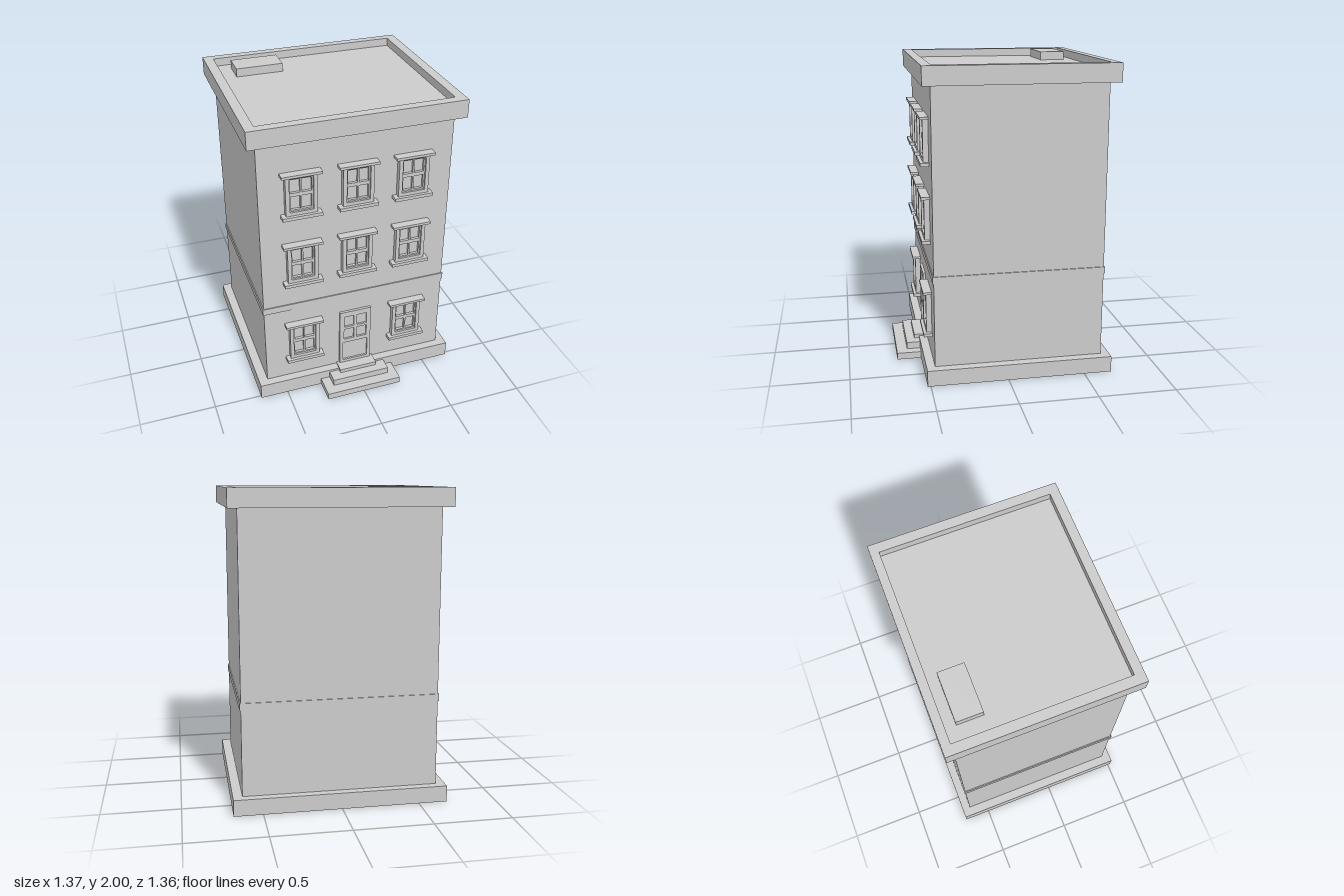
import * as THREE from 'three';

const MAT = new THREE.MeshStandardMaterial({ color: 0xcccccc, flatShading: true });
const WALL_Z = 0.465; // front wall plane

// box given by its min and max along each axis
function box(name, x0, x1, y0, y1, z0, z1) {
  const g = new THREE.BoxGeometry(x1 - x0, y1 - y0, z1 - z0);
  g.translate((x0 + x1) / 2, (y0 + y1) / 2, (z0 + z1) / 2);
  const m = new THREE.Mesh(g, MAT);
  m.name = name;
  return m;
}

function rect(Type, x0, x1, y0, y1) {
  const s = new Type();
  s.moveTo(x0, y0);
  s.lineTo(x1, y0);
  s.lineTo(x1, y1);
  s.lineTo(x0, y1);
  s.closePath();
  return s;
}

// flat plate with rectangular openings, extruded from z0 to z1
function plate(name, outer, holes, z0, z1) {
  const s = rect(THREE.Shape, ...outer);
  for (const h of holes) s.holes.push(rect(THREE.Path, ...h));
  const g = new THREE.ExtrudeGeometry(s, { depth: z1 - z0, bevelEnabled: false });
  g.translate(0, 0, z0);
  const m = new THREE.Mesh(g, MAT);
  m.name = name;
  return m;
}

// window with its origin at the bottom centre of the sill
function createWindow() {
  const w = new THREE.Group();
  w.name = 'window';
  const open = [-0.076, 0.076, 0.045, 0.272];
  const panes = [];
  for (const [y0, y1] of [[0.055, 0.146], [0.17, 0.261]])
    for (const [x0, x1] of [[-0.067, -0.005], [0.005, 0.067]]) panes.push([x0, x1, y0, y1]);
  w.add(
    box('windowSill', -0.127, 0.127, 0, 0.022, WALL_Z - 0.01, 0.52),
    box('windowLintel', -0.127, 0.127, 0.287, 0.304, WALL_Z - 0.01, 0.52),
    plate('windowFrame', [-0.1, 0.1, 0.022, 0.287], [open], WALL_Z - 0.005, 0.5),
    plate('windowSash', open, panes, WALL_Z - 0.005, 0.487),
    box('windowGlass', -0.075, 0.075, 0.046, 0.271, WALL_Z - 0.01, 0.469)
  );
  return w;
}

export function createModel() {
  const model = new THREE.Group();
  model.name = 'townBuilding';

  // walls, plinth and string course
  model.add(
    box('walls', -0.625, 0.625, 0.05, 1.94, -0.625, WALL_Z),
    box('plinth', -0.685, 0.685, 0, 0.105, -0.68, 0.52),
    box('stringCourse', -0.632, 0.632, 0.66, 0.705, -0.631, 0.472)
  );

  // cornice ring with parapet around the sunken roof
  const cornice = plate('cornice', [-0.685, 0.685, -0.52, 0.68], [[-0.622, 0.622, -0.46, 0.625]], 0, 0.117);
  cornice.rotation.x = -Math.PI / 2;
  cornice.position.y = 1.88;
  model.add(
    cornice,
    box('roof', -0.624, 0.624, 1.92, 1.945, -0.626, 0.462),
    box('roofHatch', -0.52, -0.21, 1.94, 2, -0.56, -0.395)
  );

  // windows: two full rows, ground row leaves room for the door
  for (const y of [0.25, 0.873, 1.37]) {
    for (const x of [-0.363, 0, 0.363]) {
      if (x === 0 && y < 0.5) continue;
      const w = createWindow();
      w.position.set(x, y, 0);
      model.add(w);
    }
  }

  // door with four upper lights and a lower panel
  const openings = [[-0.088, 0.088, 0.137, 0.29]];
  for (const [y0, y1] of [[0.32, 0.405], [0.425, 0.51]])
    for (const [x0, x1] of [[-0.08, -0.01], [0.01, 0.08]]) openings.push([x0, x1, y0, y1]);
  model.add(
    plate('door', [-0.11, 0.11, 0.105, 0.55], openings, WALL_Z - 0.005, 0.482),
    box('doorPanels', -0.1, 0.1, 0.12, 0.53, WALL_Z - 0.01, 0.47)
  );

  // front steps
  for (const [w, y0, y1, z] of [[0.26, 0, 0.045, 0.68], [0.198, 0.045, 0.09, 0.61], [0.13, 0.09, 0.116, 0.553]])
    model.add(box('step', -w, w, y0, y1, WALL_Z, z));

  return model;
}
